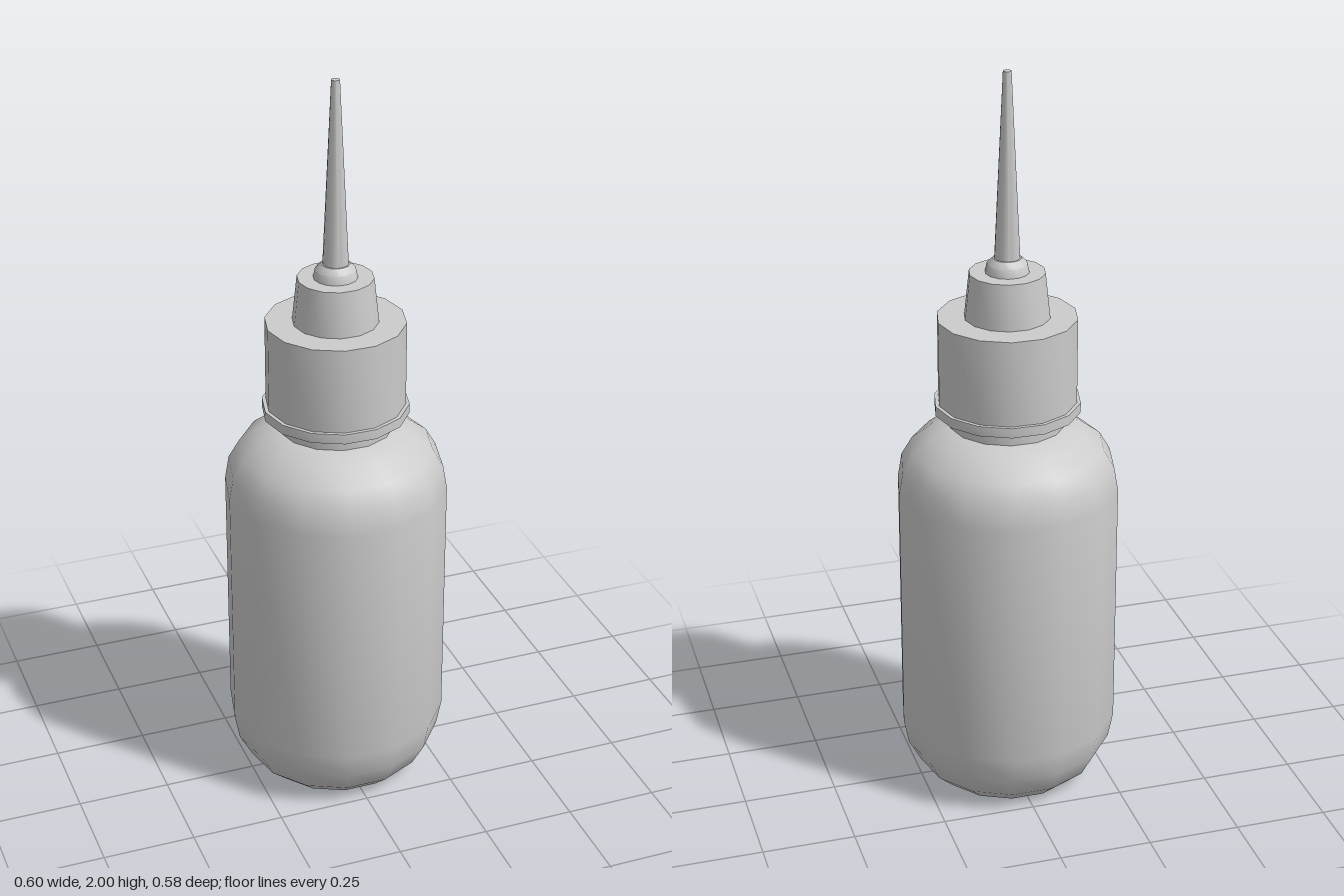
import * as THREE from 'three';
import { toCreasedNormals } from 'three/addons/utils/BufferGeometryUtils.js';

const SIDES = 14;

export function createModel() {
  const model = new THREE.Group();
  model.name = 'nozzleBottle';
  const material = new THREE.MeshStandardMaterial({ color: 0xcccccc });

  // Turned part from [radius, height] pairs, listed bottom to top
  function turned(name, profile) {
    const points = profile.map(([r, y]) => new THREE.Vector2(r, y));
    const lathe = new THREE.LatheGeometry(points, SIDES, Math.PI / 2);
    const mesh = new THREE.Mesh(toCreasedNormals(lathe, 0.65), material);
    mesh.name = name;
    model.add(mesh);
  }

  // Rounded bottle with a flat base
  turned('bottleBody', [
    [0, 0], [0.2, 0], [0.25, 0.045], [0.285, 0.11], [0.298, 0.18],
    [0.298, 0.87], [0.287, 0.935], [0.258, 0.985], [0.21, 1.022], [0.155, 1.05], [0, 1.05],
  ]);
  turned('neck', [[0.155, 1.04], [0.155, 1.1]]);

  // Screw cap standing on a thin flange
  turned('capFlange', [[0, 1.09], [0.195, 1.09], [0.195, 1.117], [0, 1.117]]);
  turned('cap', [[0.185, 1.117], [0.185, 1.35], [0, 1.35]]);

  // Stepped base of the nozzle
  turned('nozzleBase', [[0.113, 1.35], [0.1, 1.472], [0, 1.472]]);
  turned('nozzleCollar', [[0.058, 1.472], [0.053, 1.495], [0.038, 1.51], [0, 1.51]]);

  // Long tapered tip
  turned('nozzleTip', [[0.034, 1.505], [0.011, 2], [0, 2]]);

  return model;
}
